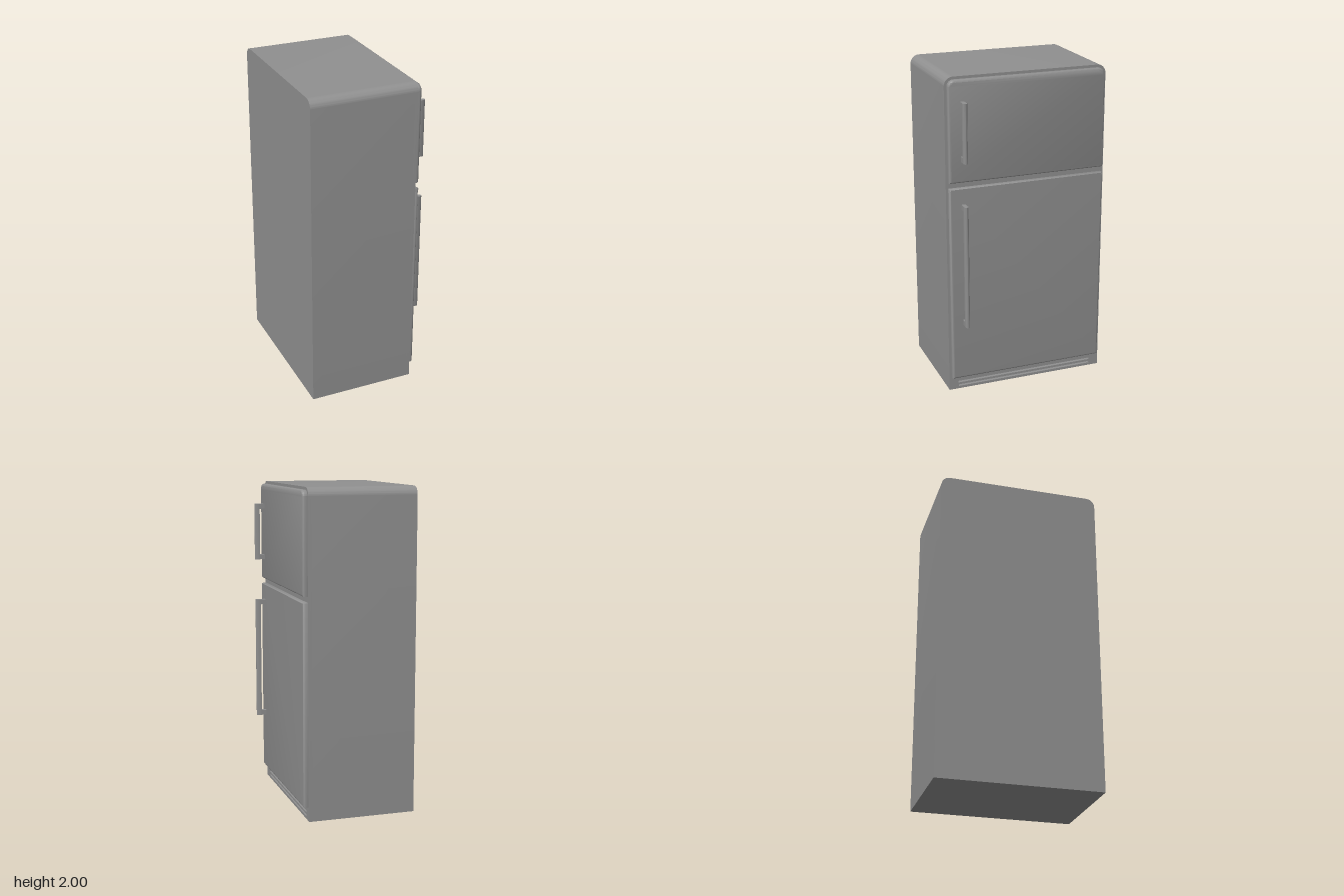
import * as THREE from 'three';
import { toCreasedNormals } from 'three/addons/utils/BufferGeometryUtils.js';

const material = new THREE.MeshStandardMaterial({ color: 0x909090 });

function part(name, geometry) {
  const mesh = new THREE.Mesh(toCreasedNormals(geometry, 0.6), material);
  mesh.name = name;
  return mesh;
}

// Rectangle outline with rounded top corners
function panelShape(halfWidth, y0, y1, r) {
  const s = new THREE.Shape();
  s.moveTo(-halfWidth, y0);
  s.lineTo(halfWidth, y0);
  s.lineTo(halfWidth, y1 - r);
  s.absarc(halfWidth - r, y1 - r, r, 0, Math.PI / 2, false);
  s.lineTo(-halfWidth + r, y1);
  s.absarc(-halfWidth + r, y1 - r, r, Math.PI / 2, Math.PI, false);
  s.closePath();
  return s;
}

// Extrude a z-y outline along x, from x0 to x1
function extrudeX(shape, x0, x1, bevel = 0) {
  const g = new THREE.ExtrudeGeometry(shape, {
    depth: x1 - x0 - 2 * bevel, curveSegments: 10,
    bevelEnabled: bevel > 0, bevelThickness: bevel, bevelSize: bevel,
    bevelOffset: -bevel, bevelSegments: 4,
  });
  return g.rotateY(Math.PI / 2).translate(x0 + bevel, 0, 0);
}

// Pull handle: two posts and an upright bar with rounded outer edges
function handle(name, y0, y1) {
  const group = new THREE.Group();
  group.name = name;
  const z = 0.411, w = 0.013, r = 0.012, back = 0.351, front = 0.383;
  const s = new THREE.Shape();
  s.moveTo(back, -w);
  s.lineTo(front - r, -w);
  s.absarc(front - r, -w + r, r, -Math.PI / 2, 0, false);
  s.lineTo(front, w - r);
  s.absarc(front - r, w - r, r, 0, Math.PI / 2, false);
  s.lineTo(back, w);
  s.closePath();
  const bar = new THREE.ExtrudeGeometry(s, { depth: y1 - y0, bevelEnabled: false, curveSegments: 6 });
  group.add(part('handleBar', bar.rotateX(-Math.PI / 2).translate(0, y0, z)));
  for (const y of [y0 + 0.016, y1 - 0.016]) {
    group.add(part('handlePost', new THREE.BoxGeometry(0.045, 0.032, 2 * w).translate(0.333, y, z)));
  }
  return group;
}

export function createModel() {
  const model = new THREE.Group();
  model.name = 'refrigerator';

  // Cabinet, with a slotted front frame
  model.add(part('cabinet', extrudeX(panelShape(0.51, 0, 2, 0.055), -0.383, 0.269)));
  const frame = panelShape(0.51, 0, 2, 0.055);
  for (const y of [0.016, 0.041]) {
    const slot = new THREE.Path();
    slot.moveTo(-0.45, y);
    slot.lineTo(-0.45, y + 0.013);
    slot.lineTo(0.45, y + 0.013);
    slot.lineTo(0.45, y);
    slot.closePath();
    frame.holes.push(slot);
  }
  model.add(part('frontFrame', extrudeX(frame, 0.269, 0.289)));

  // Doors
  model.add(part('freezerDoor', extrudeX(panelShape(0.495, 1.366, 1.984, 0.042), 0.272, 0.32, 0.014)));
  model.add(part('mainDoor', extrudeX(panelShape(0.495, 0.086, 1.331, 0.003), 0.272, 0.32, 0.014)));

  // Handles
  model.add(handle('freezerHandle', 1.497, 1.857));
  model.add(handle('mainHandle', 0.452, 1.232));

  return model;
}
